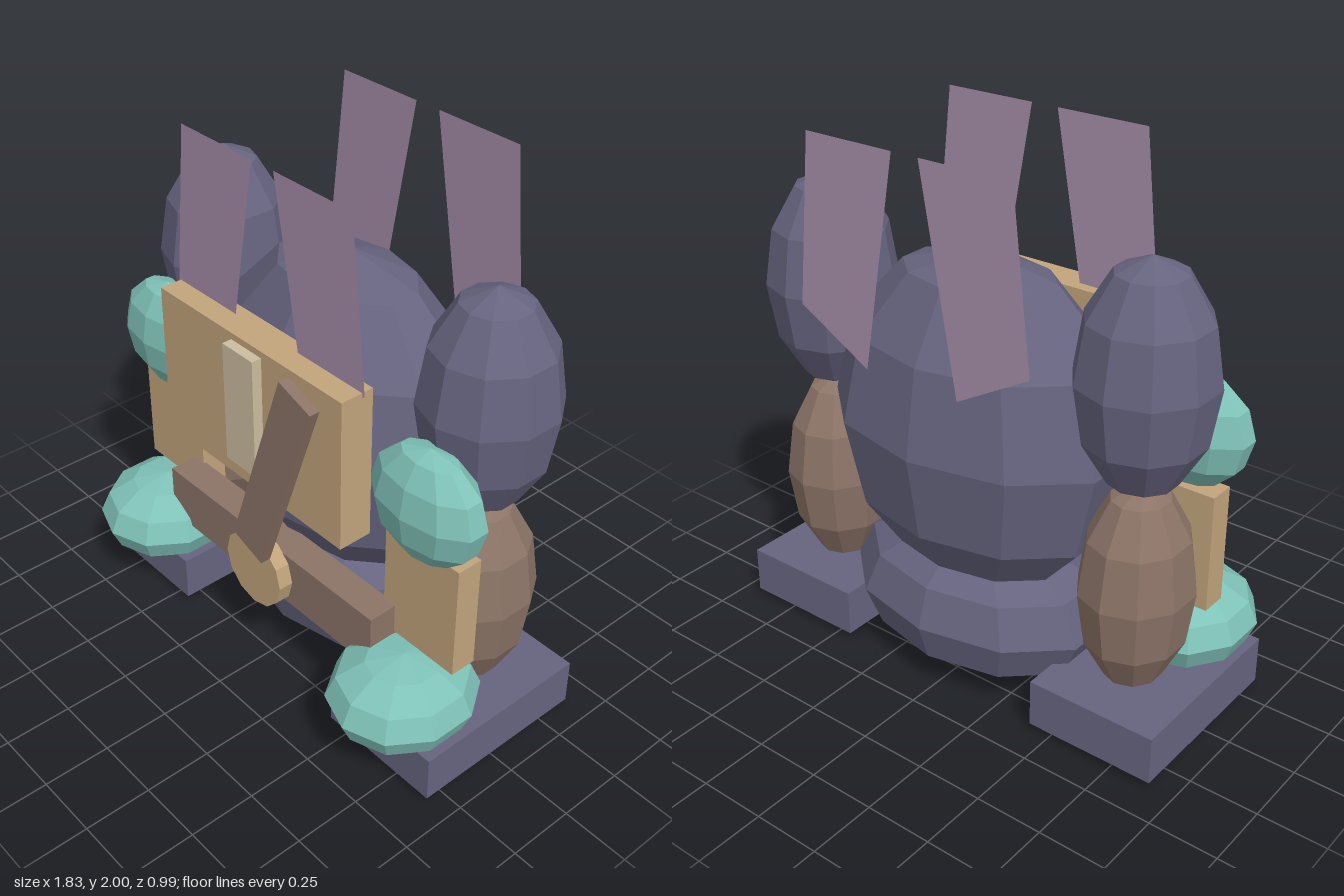
import * as THREE from 'three';

const material = (name, color) => {
  const m = new THREE.MeshStandardMaterial({ color, flatShading: true });
  m.name = name;
  return m;
};

export function createModel() {
  const group = new THREE.Group();
  const slate = material('slate', 0x66647f);
  const tan = material('tan', 0xc2a47c);
  const brown = material('brown', 0x8c7467);
  const cream = material('cream', 0xcbbd9f);
  const teal = material('teal', 0x7fc2b8);
  const mauve = material('mauve', 0xa48ca8);
  mauve.side = THREE.DoubleSide;

  const add = (name, geometry, mat, x = 0, y = 0, z = 0) => {
    const mesh = new THREE.Mesh(geometry, mat);
    mesh.name = name;
    mesh.position.set(x, y, z);
    group.add(mesh);
    return mesh;
  };
  // Ten-sided ellipsoid with a vertex line facing the front
  const blob = (name, mat, [x, y, z], [rx, ry, rz]) =>
    add(name, new THREE.SphereGeometry(1, 10, 6).rotateY(Math.PI / 2).scale(rx, ry, rz), mat, x, y, z);
  // Box given by its lower and upper corners
  const box = (name, mat, [x0, y0, z0], [x1, y1, z1]) =>
    add(name, new THREE.BoxGeometry(x1 - x0, y1 - y0, z1 - z0), mat,
      (x0 + x1) / 2, (y0 + y1) / 2, (z0 + z1) / 2);

  // Trunk
  blob('torso', slate, [0, 0.97, -0.11], [0.595, 0.635, 0.385]);
  blob('pelvis', slate, [0, 0.287, -0.11], [0.53, 0.287, 0.35]);

  // Chest armour, sash and belt
  box('chestPlate', tan, [-0.465, 0.83, 0.195], [0.465, 1.405, 0.325]);
  box('chestStrip', cream, [-0.077, 0.92, 0.325], [0.077, 1.38, 0.363]);
  const sash = add('sash', new THREE.BoxGeometry(0.16, 0.81, 0.04), brown, 0.156, 0.967, 0.346);
  sash.rotation.z = -0.335;
  box('belt', brown, [-0.56, 0.34, 0.15], [0.56, 0.553, 0.27]);
  add('buckle', new THREE.CylinderGeometry(0.15, 0.15, 0.057, 12).rotateX(Math.PI / 2), tan, 0, 0.447, 0.298);

  // Slanted shoulder banner outline
  const banner = new THREE.Shape([[0.053, 2], [0.19, 1.235], [0.476, 1.395], [0.41, 2]]
    .map(([x, y]) => new THREE.Vector2(x, y)));

  for (const [side, s] of [['left', 1], ['right', -1]]) {
    const x = s * 0.67;
    blob(side + 'UpperLimb', slate, [x, 1.33, -0.115], [0.242, 0.41, 0.242]);
    blob(side + 'LowerLimb', brown, [x, 0.57, -0.115], [0.2, 0.395, 0.22]);
    blob(side + 'UpperGuard', teal, [s * 0.68, 1.06, 0.15], [0.236, 0.212, 0.125]);
    blob(side + 'ToeGuard', teal, [x, 0.287, 0.217], [0.256, 0.163, 0.277]);
    add(side + 'ShinPlate', new THREE.BoxGeometry(0.333, 0.44, 0.1), tan, s * 0.673, 0.66, 0.11);
    add(side + 'Foot', new THREE.BoxGeometry(0.49, 0.178, 0.7), slate, x, 0.118, -0.023);
    for (const [place, z] of [['Front', 0.24], ['Back', -0.46]]) {
      const mesh = add(side + place + 'Banner', new THREE.ShapeGeometry(banner), mauve, 0, 0, z);
      mesh.scale.x = s;
    }
  }
  return group;
}
